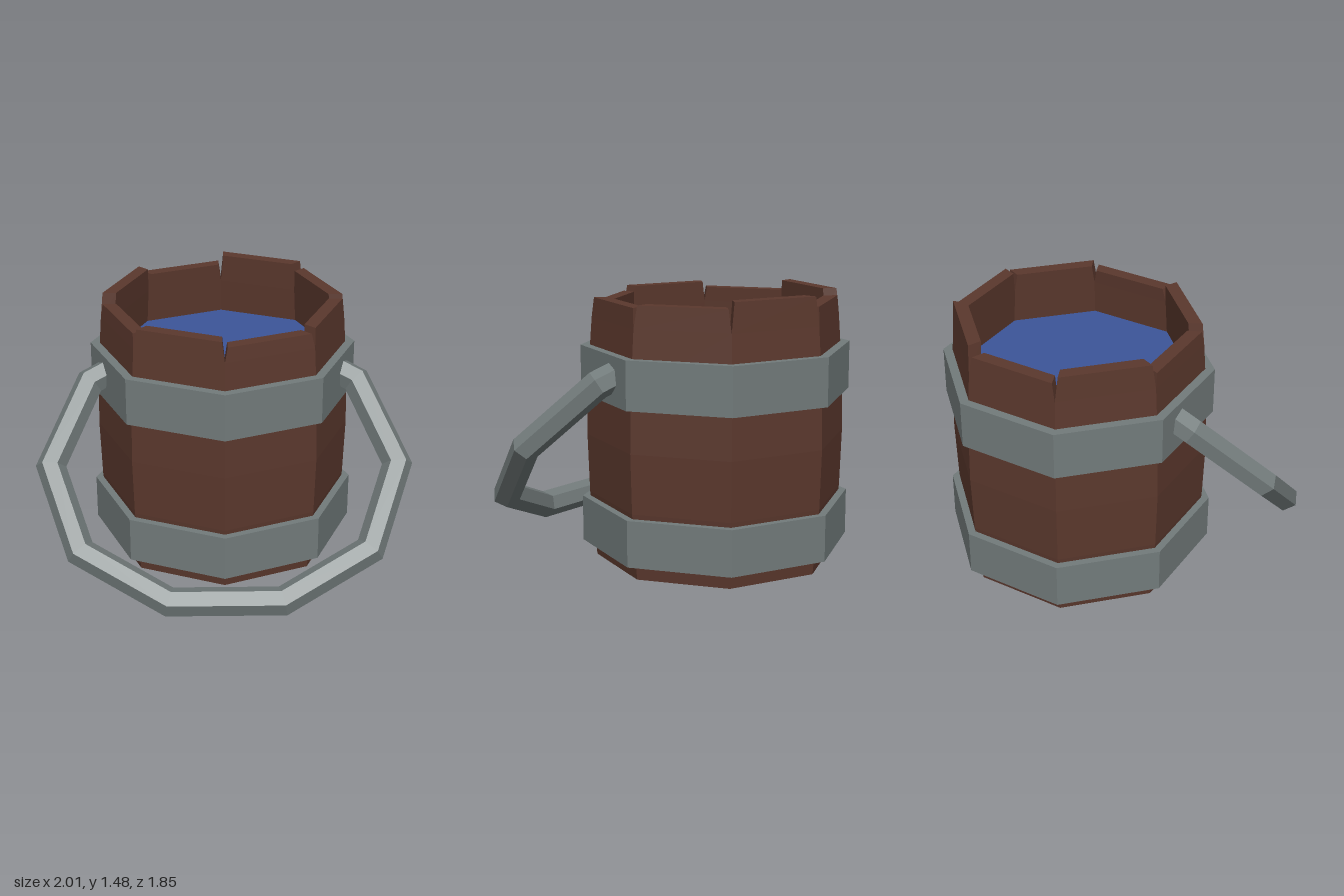
import * as THREE from 'three';

const SIDES = 8;
const STEP = (Math.PI * 2) / SIDES;
const mat = (color) => new THREE.MeshStandardMaterial({ color, flatShading: true });

// One stave: a box bent to the bulging barrel profile, narrowing at its top to leave a notch
function staveGeometry(index, top) {
  const ys = [0, 0.36, 0.68, 1.0, 1.32, top];
  const radii = [0.655, 0.69, 0.7, 0.692, 0.668, 0.655];
  const levels = ys.length - 1;
  const g = new THREE.BoxGeometry(1, 1, 1, 1, levels, 1);
  const p = g.attributes.position;
  for (let i = 0; i < p.count; i++) {
    const level = Math.round((p.getY(i) + 0.5) * levels);
    const gap = level === levels ? 0.022 : 0;
    const angle = (index + 0.5) * STEP + Math.sign(p.getX(i)) * (STEP / 2 - gap);
    const r = radii[level] - (p.getZ(i) > 0 ? 0 : 0.075);
    p.setXYZ(i, r * Math.sin(angle), ys[level], r * Math.cos(angle));
  }
  g.computeVertexNormals();
  return g;
}

// Hexagonal bar with mitred corners, along a path in the XY plane
function barGeometry(path, radius) {
  const n = 6;
  const verts = [];
  const index = [];
  path.forEach((pt, i) => {
    const before = pt.clone().sub(path[Math.max(i - 1, 0)]).normalize();
    const after = path[Math.min(i + 1, path.length - 1)].clone().sub(pt).normalize();
    const t = before.clone().add(after).normalize();
    const mitre = radius / Math.max(t.dot(i ? before : after), 0.5);
    for (let j = 0; j < n; j++) {
      const a = (j / n) * Math.PI * 2;
      const w = Math.cos(a) * mitre;
      verts.push(pt.x - t.y * w, pt.y + t.x * w, Math.sin(a) * radius);
      if (i < path.length - 1) {
        const k = (j + 1) % n;
        const r = i * n;
        index.push(r + j, r + k, r + n + k, r + j, r + n + k, r + n + j);
      }
    }
  });
  // End caps
  const last = (path.length - 1) * n;
  for (let j = 1; j < n - 1; j++) {
    index.push(0, j + 1, j, last, last + j, last + j + 1);
  }
  const g = new THREE.BufferGeometry();
  g.setAttribute('position', new THREE.Float32BufferAttribute(verts, 3));
  g.setIndex(index);
  g.computeVertexNormals();
  return g;
}

export function createModel() {
  const model = new THREE.Group();
  model.name = 'bucket';
  const wood = mat(0x5b382d);
  const metal = mat(0x727b7b);
  const add = (parent, name, geometry, material) => {
    const mesh = new THREE.Mesh(geometry, material);
    mesh.name = name;
    parent.add(mesh);
    return mesh;
  };

  const barrel = new THREE.Group();
  barrel.name = 'barrel';
  barrel.position.z = -0.197;
  model.add(barrel);

  // Staves of uneven height, starting at the front and going round by the left
  const heights = [1.4, 1.425, 1.44, 1.475, 1.42, 1.455, 1.4, 1.43];
  heights.forEach((h, i) => add(barrel, 'stave', staveGeometry(i, h), wood));

  // Metal hoops
  for (const [name, low, high] of [['lowerHoop', 0.085, 0.335], ['upperHoop', 0.91, 1.17]]) {
    const profile = [[0.65, low], [0.73, low], [0.73, high], [0.65, high], [0.65, low]]
      .map(([r, y]) => new THREE.Vector2(r, y));
    add(barrel, name, new THREE.LatheGeometry(profile, SIDES), metal);
  }

  // Water surface
  const water = add(barrel, 'water', new THREE.CircleGeometry(0.608, SIDES), mat(0x3c5599));
  water.rotation.x = -Math.PI / 2;
  water.position.y = 1.13;

  // Carrying handle, hanging forward
  const half = [[0.62, -0.06], [0.725, 0], [0.925, 0.48], [0.76, 0.95], [0.295, 1.22]];
  const path = [
    ...half.map(([x, d]) => new THREE.Vector2(x, d)),
    ...half.map(([x, d]) => new THREE.Vector2(-x, d)).reverse(),
  ];
  const handle = add(model, 'handle', barGeometry(path, 0.076), metal);
  handle.rotation.x = 2.374;
  handle.position.y = 1.02;

  return model;
}
